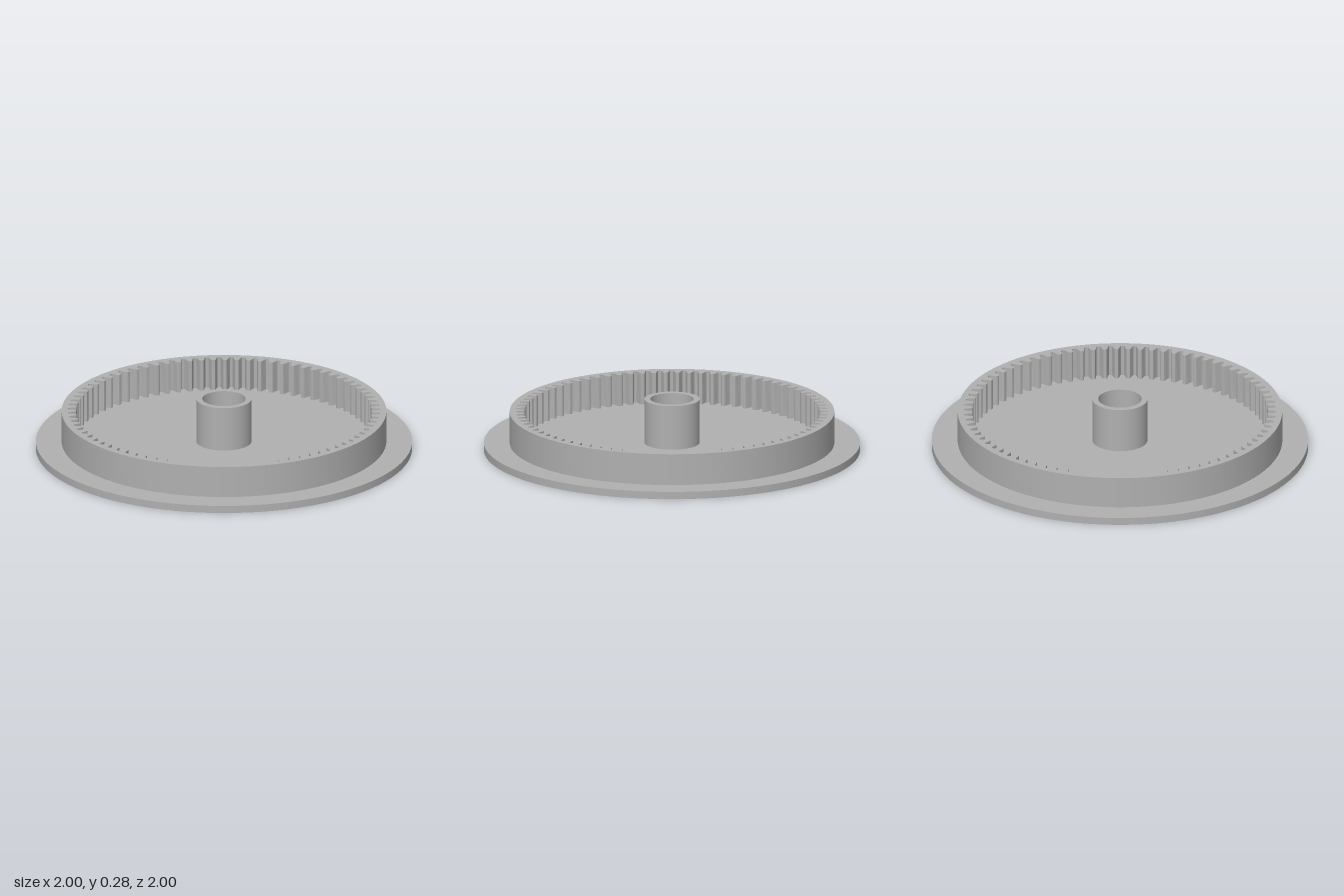
import * as THREE from 'three';
import { toCreasedNormals } from 'three/addons/utils/BufferGeometryUtils.js';

const TEETH = 80, TIP = 0.785, ROOT = 0.83;
const FLOOR = 0.04, RIM_TOP = 0.21, HUB_TOP = 0.28;

// Lathe with crisp corners: each profile point is doubled so normals do not blend
function turned(profile, segments) {
  const pts = profile.flatMap(([r, y]) => [new THREE.Vector2(r, y), new THREE.Vector2(r, y)]);
  return new THREE.LatheGeometry(pts, segments);
}

// Rim outline with an internally toothed hole, extruded upward
function toothedRim() {
  const shape = new THREE.Shape();
  shape.absarc(0, 0, 0.863, 0, Math.PI * 2, false);

  // One tooth space: [fraction of pitch, height from tip (0) to root (1)]
  const tooth = [
    [-0.5, 0], [-0.36, 0.04], [-0.29, 0.2], [-0.2, 0.75], [-0.12, 0.96],
    [0, 1], [0.12, 0.96], [0.2, 0.75], [0.29, 0.2], [0.36, 0.04],
  ];
  const points = [];
  for (let i = 0; i < TEETH; i++) {
    for (const [t, h] of tooth) {
      const a = ((i + t) / TEETH) * Math.PI * 2;
      const r = TIP + (ROOT - TIP) * h;
      points.push(new THREE.Vector2(Math.cos(a) * r, Math.sin(a) * r));
    }
  }
  shape.holes.push(new THREE.Path(points.reverse()));

  const geo = new THREE.ExtrudeGeometry(shape, {
    depth: RIM_TOP - FLOOR, bevelEnabled: false, curveSegments: 128,
  });
  geo.rotateX(-Math.PI / 2);
  geo.translate(0, FLOOR, 0);
  return toCreasedNormals(geo, 0.5);
}

export function createModel() {
  const model = new THREE.Group();
  model.name = 'internalRingGear';
  const grey = new THREE.MeshStandardMaterial({ color: 0xb0b0b0 });
  grey.name = 'grey';

  const add = (name, geometry) => {
    const mesh = new THREE.Mesh(geometry, grey);
    mesh.name = name;
    model.add(mesh);
  };

  // Base disc with a shallow ring groove underneath
  add('basePlate', turned([
    [0, 0], [0.792, 0], [0.792, 0.01], [0.803, 0.01], [0.803, 0],
    [1, 0], [1, FLOOR], [0, FLOOR],
  ], 128));

  // Raised rim with inward teeth
  add('toothedRim', toothedRim());

  // Hollow central hub
  add('hub', turned([
    [0.147, FLOOR], [0.147, HUB_TOP], [0.115, HUB_TOP], [0.115, FLOOR],
  ], 64));

  return model;
}
